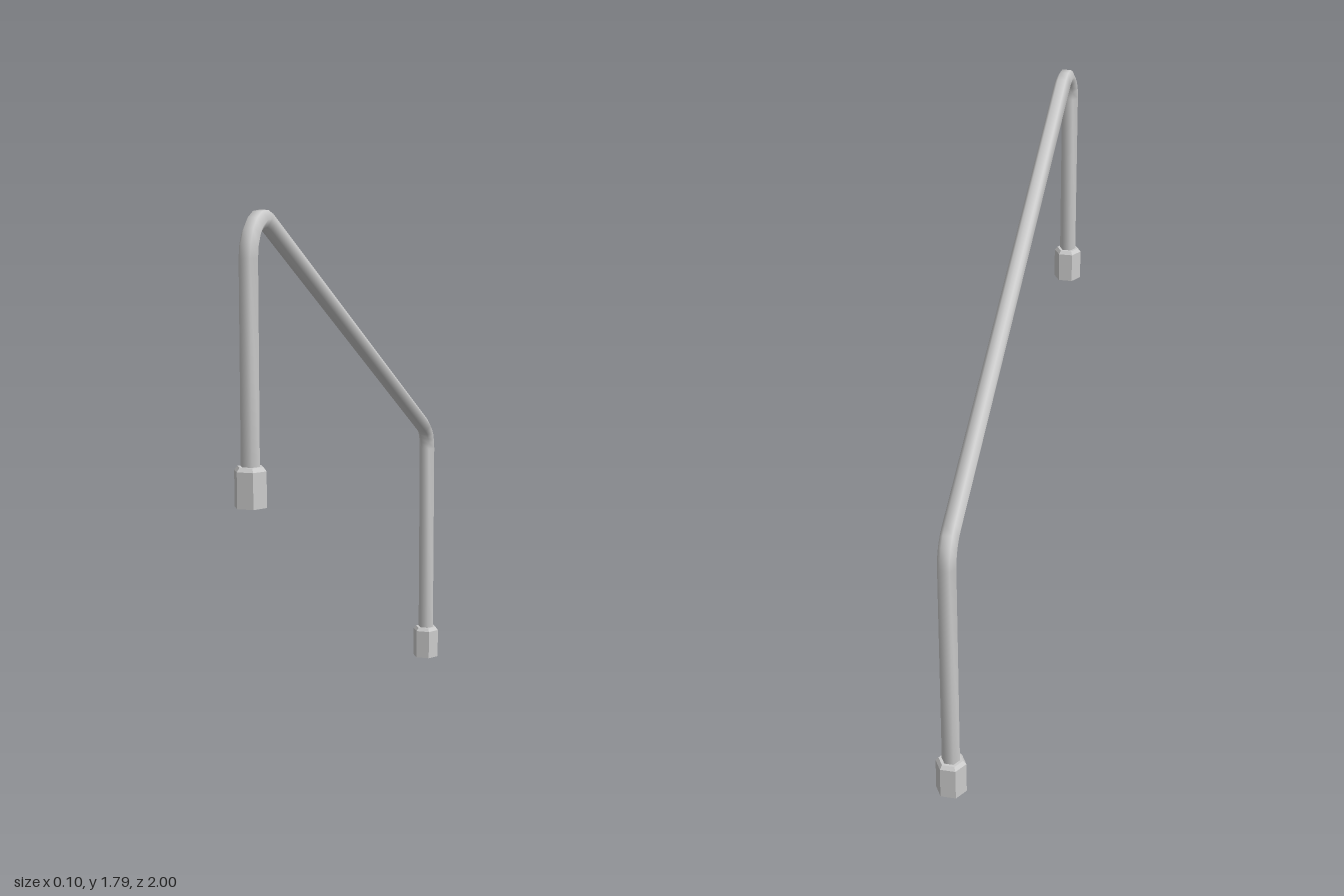
import * as THREE from 'three';

const SIDES = 6;
const TUBE_R = 0.0295;
const BEND_R = 0.108;
const SLOPE = Math.atan(0.482);

const FRONT = { z: 0.957, base: 0.94, bendY: 1.654 };
const BACK = { z: -0.955, base: 0, bendY: 0.837 };

// Path stations: position plus heading (0 = up, PI/2 = backwards, PI = down)
function railPath() {
  const path = [];
  const add = (z, y, a) => path.push({ z, y, a });
  const bend = (cz, cy, from, to, steps) => {
    for (let i = 0; i <= steps; i++) {
      const a = from + ((to - from) * i) / steps;
      add(cz + BEND_R * Math.cos(a), cy + BEND_R * Math.sin(a), a);
    }
  };
  const tilt = Math.PI / 2 + SLOPE;
  add(FRONT.z, FRONT.base + 0.06, 0);
  bend(FRONT.z - BEND_R, FRONT.bendY, 0, tilt, 6);
  bend(BACK.z + BEND_R, BACK.bendY, tilt, Math.PI, 4);
  add(BACK.z, BACK.base + 0.06, Math.PI);
  return path;
}

// Six-sided tube swept along the planar path, with shared smooth normals
function sweep(path) {
  const pos = [], index = [];
  path.forEach(({ z, y, a }, i) => {
    for (let j = 0; j < SIDES; j++) {
      const t = (j / SIDES) * Math.PI * 2;
      const n = TUBE_R * Math.sin(t);
      pos.push(TUBE_R * Math.cos(t), y - n * Math.sin(a), z - n * Math.cos(a));
      if (i === 0) continue;
      const k = (j + 1) % SIDES, p = (i - 1) * SIDES, q = i * SIDES;
      index.push(p + j, p + k, q + j, p + k, q + k, q + j);
    }
  });
  const geo = new THREE.BufferGeometry();
  geo.setAttribute('position', new THREE.Float32BufferAttribute(pos, 3));
  geo.setIndex(index);
  geo.computeVertexNormals();
  return geo;
}

export function createModel() {
  const model = new THREE.Group();
  model.name = 'handrail';

  // Bent rail with both posts
  const rail = new THREE.Mesh(sweep(railPath()), new THREE.MeshStandardMaterial({ color: 0xcccccc }));
  rail.name = 'rail';
  model.add(rail);

  // Hexagonal foot collars with a chamfered top
  const profile = [[0, 0], [0.05, 0], [0.05, 0.107], [0.04, 0.119], [0, 0.119]]
    .map(([r, y]) => new THREE.Vector2(r, y));
  const collarGeo = new THREE.LatheGeometry(profile, SIDES, Math.PI / 2);
  const collarMat = new THREE.MeshStandardMaterial({ color: 0xcccccc, flatShading: true });
  for (const [name, post] of [['frontCollar', FRONT], ['backCollar', BACK]]) {
    const collar = new THREE.Mesh(collarGeo, collarMat);
    collar.name = name;
    collar.position.set(0, post.base, post.z);
    model.add(collar);
  }
  return model;
}
